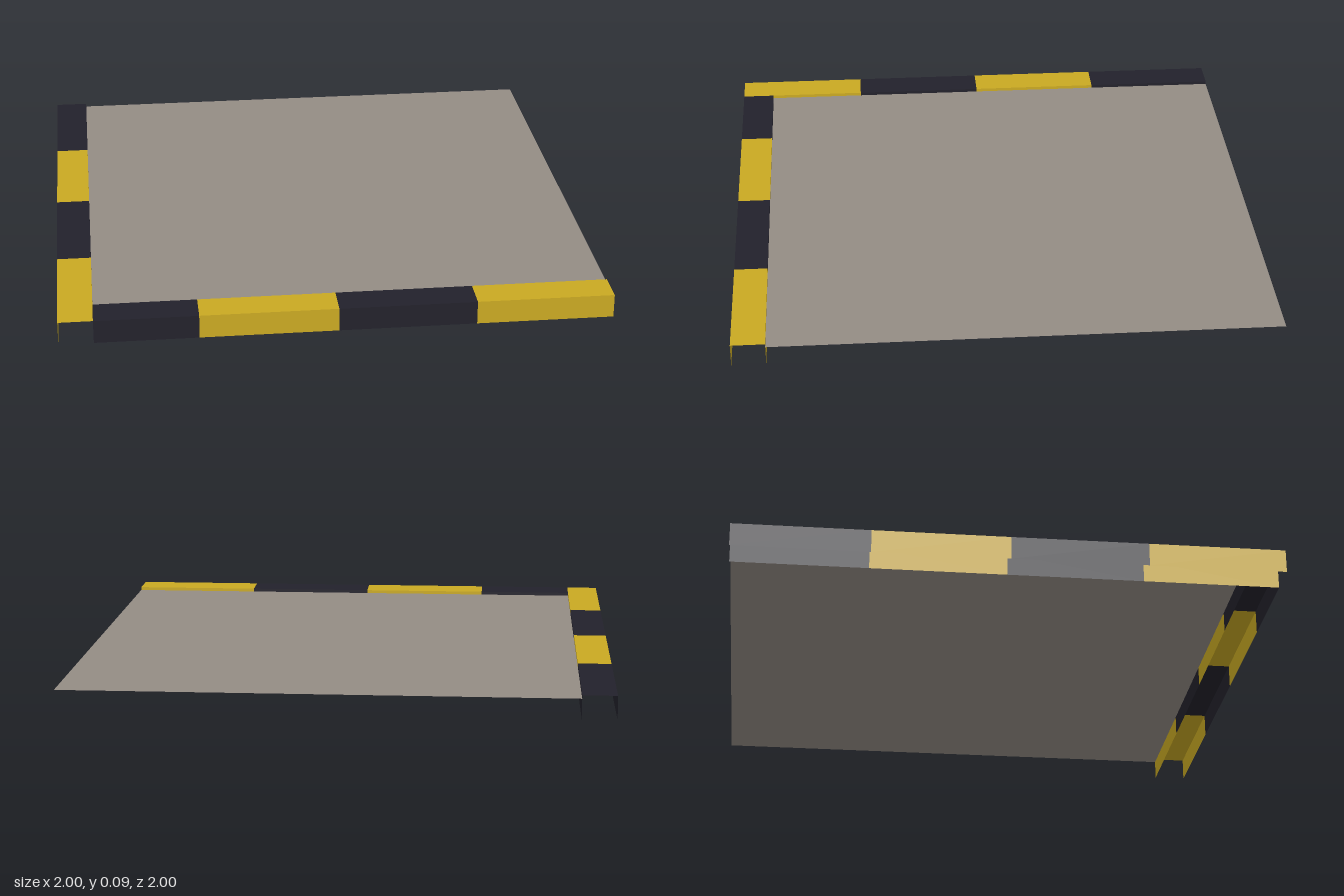
import * as THREE from 'three';

const H = 0.0875;   // height of the edging
const W = 0.125;    // width of the edging
const FLOOR_Y = 0.075;

export function createModel() {
  const material = (name, color) => {
    const m = new THREE.MeshStandardMaterial({ color, side: THREE.DoubleSide });
    m.name = name;
    return m;
  };
  const grey = material('concreteGrey', 0x948c84);
  const yellow = material('hazardYellow', 0xc9a922);
  const black = material('hazardBlack', 0x22212b);

  const model = new THREE.Group();
  model.name = 'loadingPlatform';

  // thin sheet lying flat, or standing with its front along +z or -x
  const sheet = (parent, name, mat, w, h, pos, rx = 0, ry = 0) => {
    const mesh = new THREE.Mesh(new THREE.PlaneGeometry(w, h), mat);
    mesh.name = name;
    mesh.position.set(...pos);
    mesh.rotation.set(rx, ry, 0);
    parent.add(mesh);
  };

  // floor, ending at the inner walls of the edging
  const size = 2 - W;
  sheet(model, 'floor', grey, size, size, [W / 2, FLOOR_Y, -W / 2], -Math.PI / 2);

  // striped edging: open channels with a top, an outer wall and an inner wall
  const front = new THREE.Group();
  front.name = 'frontEdging';
  const side = new THREE.Group();
  side.name = 'sideEdging';
  model.add(front, side);

  for (let i = 0; i < 4; i++) {
    // front run starts where the side run's inner wall stands
    const x0 = Math.max(-1 + i * 0.5, -1 + (i === 0 ? W : 0));
    const x1 = -0.5 + i * 0.5;
    const len = x1 - x0, cx = (x0 + x1) / 2;
    const fm = i % 2 ? yellow : black;
    sheet(front, 'frontTop', fm, len, W, [cx, H, 1 - W / 2], -Math.PI / 2);
    sheet(front, 'frontOuterWall', fm, len, H, [cx, H / 2, 1]);
    sheet(front, 'frontInnerWall', fm, len, H, [cx, H / 2, 1 - W], 0, Math.PI);

    // side run covers the full depth
    const cz = -0.75 + i * 0.5;
    const sm = i % 2 ? yellow : black;
    sheet(side, 'sideTop', sm, W, 0.5, [-1 + W / 2, H, cz], -Math.PI / 2);
    sheet(side, 'sideOuterWall', sm, 0.5, H, [-1, H / 2, cz], 0, -Math.PI / 2);
    sheet(side, 'sideInnerWall', sm, 0.5, H, [-1 + W, H / 2, cz], 0, Math.PI / 2);
  }
  return model;
}
